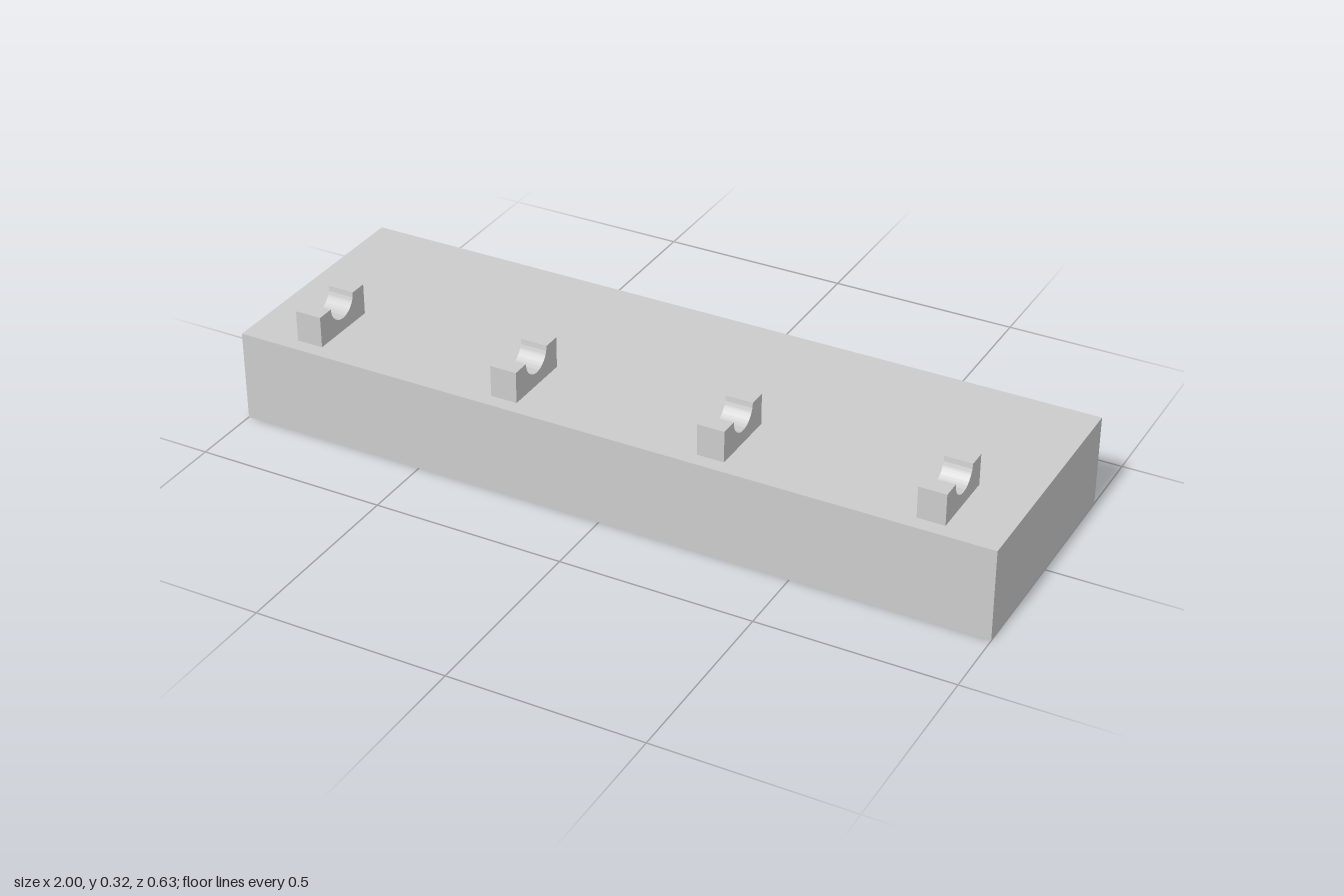
import * as THREE from 'three';
import { toCreasedNormals } from 'three/addons/utils/BufferGeometryUtils.js';

const LENGTH = 2, HEIGHT = 0.24, DEPTH = 0.63;
const PITCH = 0.55;
const POCKET = { r: 0.239, depth: 0.03 };
const DIMPLE = { r: 0.107, depth: 0.012, offset: 0.115 };
const SEGMENTS = 64;

const grey = new THREE.MeshStandardMaterial({ color: 0xcccccc });
const greyInside = new THREE.MeshStandardMaterial({ color: 0xcccccc, side: THREE.BackSide });

function add(parent, name, geometry, material = grey) {
  const mesh = new THREE.Mesh(geometry, material);
  mesh.name = name;
  parent.add(mesh);
  return mesh;
}

function circle(x, r, Type = THREE.Shape) {
  return new Type().absarc(x, 0, r, 0, Math.PI * 2, false);
}

// Flat face looking down at height y
function downFace(shape, y) {
  return new THREE.ShapeGeometry(shape, SEGMENTS).rotateX(Math.PI / 2).translate(0, y, 0);
}

// Round wall seen from inside, rising from height y
function wall(x, r, y, depth) {
  return new THREE.CylinderGeometry(r, r, depth, SEGMENTS, 1, true).translate(x, y + depth / 2, 0);
}

// Round pocket with two shallow dimples in its floor
function createPocket() {
  const pocket = new THREE.Group();
  pocket.name = 'undersidePocket';
  add(pocket, 'pocketWall', wall(0, POCKET.r, 0, POCKET.depth), greyInside);
  const floor = circle(0, POCKET.r);
  for (const x of [-DIMPLE.offset, DIMPLE.offset]) {
    floor.holes.push(circle(x, DIMPLE.r, THREE.Path));
    add(pocket, 'dimpleWall', wall(x, DIMPLE.r, POCKET.depth, DIMPLE.depth), greyInside);
    add(pocket, 'dimpleFloor', downFace(circle(x, DIMPLE.r), POCKET.depth + DIMPLE.depth));
  }
  add(pocket, 'pocketFloor', downFace(floor, POCKET.depth));
  return pocket;
}

// Block with a half-round cradle in its top
function cradleGeometry() {
  const half = 0.095, height = 0.082, r = 0.048, width = 0.07;
  const s = new THREE.Shape();
  s.moveTo(-half, 0);
  s.lineTo(half, 0);
  s.lineTo(half, height);
  s.lineTo(r, height);
  s.absarc(0, height, r, 0, -Math.PI, true);
  s.lineTo(-half, height);
  s.closePath();
  const g = new THREE.ExtrudeGeometry(s, { depth: width, bevelEnabled: false, curveSegments: 32 });
  g.translate(0, 0, -width / 2).rotateY(Math.PI / 2);
  return toCreasedNormals(g, 0.5);
}

export function createModel() {
  const model = new THREE.Group();
  model.name = 'cradleBase';

  // Base sides and top: a box without its bottom face
  const box = new THREE.BoxGeometry(LENGTH, HEIGHT, DEPTH).translate(0, HEIGHT / 2, 0);
  const index = Array.from(box.index.array);
  index.splice(18, 6);
  box.setIndex(index);
  box.clearGroups();
  add(model, 'baseBody', box);

  // Underside with the pockets
  const underside = new THREE.Shape([
    new THREE.Vector2(-LENGTH / 2, -DEPTH / 2), new THREE.Vector2(LENGTH / 2, -DEPTH / 2),
    new THREE.Vector2(LENGTH / 2, DEPTH / 2), new THREE.Vector2(-LENGTH / 2, DEPTH / 2),
  ]);
  for (const i of [-1, 0, 1]) {
    underside.holes.push(circle(i * PITCH, POCKET.r, THREE.Path));
    const pocket = createPocket();
    pocket.position.x = i * PITCH;
    model.add(pocket);
  }
  add(model, 'underside', downFace(underside, 0));

  // Row of cradles along the front
  const cradle = cradleGeometry();
  for (const i of [-1.5, -0.5, 0.5, 1.5]) {
    add(model, 'cradle', cradle).position.set(i * PITCH, HEIGHT, 0.182);
  }
  return model;
}
